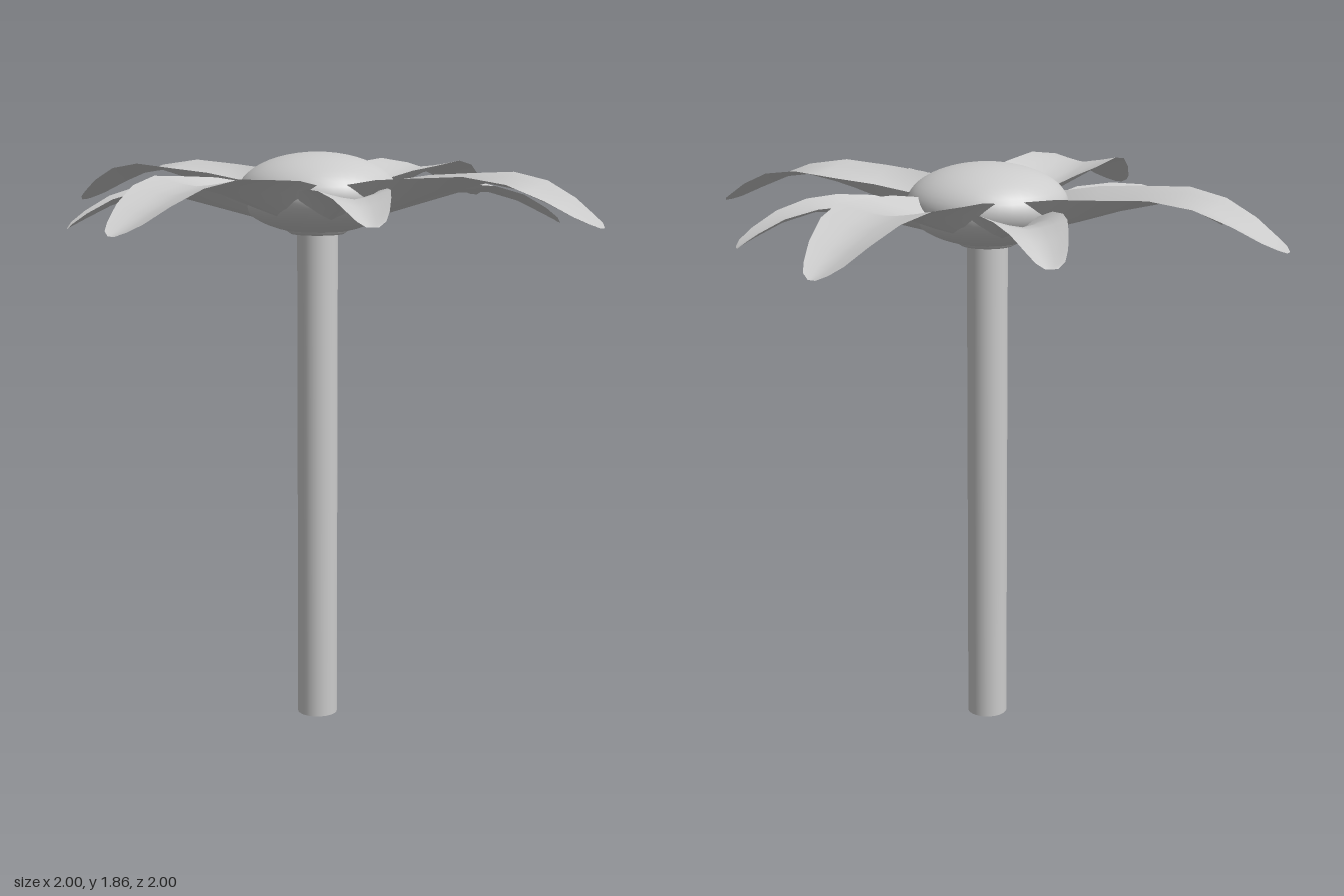
import * as THREE from 'three';

const grey = new THREE.MeshStandardMaterial({ color: 0xcccccc });
const thin = new THREE.MeshStandardMaterial({ color: 0xcccccc, side: THREE.DoubleSide });

// Stations along a petal: [distance from axis, height of midrib, half width, rise of the edges]
const LARGE = [
  [0.08, 1.635, 0.06, 0.03], [0.2, 1.665, 0.135, 0.105], [0.32, 1.70, 0.157, 0.09],
  [0.46, 1.745, 0.165, 0.055], [0.62, 1.785, 0.157, 0.025], [0.75, 1.765, 0.13, 0.025],
  [0.86, 1.72, 0.098, 0.025], [0.94, 1.685, 0.065, 0.015], [0.98, 1.672, 0.04, 0.008], [1.0, 1.668, 0.012, 0],
];
const SMALL = [
  [0.08, 1.63, 0.05, 0.02], [0.2, 1.655, 0.10, 0.06], [0.34, 1.695, 0.122, 0.06],
  [0.46, 1.73, 0.122, 0.035], [0.56, 1.735, 0.108, 0.025], [0.66, 1.71, 0.085, 0.025],
  [0.74, 1.675, 0.062, 0.02], [0.785, 1.655, 0.042, 0.01], [0.80, 1.648, 0.018, 0],
];

// Channel-shaped sheet running out along +z; tipLift raises the outer end
function petalGeometry(stations, tipLift = 0) {
  const across = 6, pos = [], index = [];
  const length = stations.at(-1)[0];
  stations.forEach(([r, y, w, rise], i) => {
    const lift = tipLift * (r / length) ** 3;
    for (let j = 0; j <= across; j++) {
      const v = (j / across) * 2 - 1;
      pos.push(v * w, y + lift + rise * Math.abs(v) ** 1.4, r);
      if (i < stations.length - 1 && j < across) {
        const a = i * (across + 1) + j, b = a + across + 1;
        index.push(a, b, a + 1, a + 1, b, b + 1);
      }
    }
  });
  const g = new THREE.BufferGeometry();
  g.setAttribute('position', new THREE.Float32BufferAttribute(pos, 3));
  g.setIndex(index);
  g.computeVertexNormals();
  return g;
}

export function createModel() {
  const flower = new THREE.Group();
  flower.name = 'flower';
  const add = (name, geometry, material) => {
    const m = new THREE.Mesh(geometry, material);
    m.name = name;
    flower.add(m);
    return m;
  };

  // Stem
  add('stem', new THREE.CylinderGeometry(0.065, 0.065, 1.62, 32), grey).position.y = 0.81;

  // Domed flower centre: squashed ball
  const centre = add('centre', new THREE.SphereGeometry(1, 40, 24), grey);
  centre.scale.set(0.257, 0.129, 0.25);
  centre.position.y = 1.731;

  // Collar under the centre
  const collar = [[0, 1.602], [0.085, 1.602], [0.118, 1.624], [0.105, 1.645], [0, 1.65]];
  add('collar', new THREE.LatheGeometry(collar.map(([x, y]) => new THREE.Vector2(x, y)), 32), grey);

  // Four long petals on the axes
  const large = petalGeometry(LARGE);
  [0, 90, 180, -91].forEach((deg, i) => {
    add('longPetal' + (i + 1), large, thin).rotation.y = THREE.MathUtils.degToRad(deg);
  });

  // Four short petals between them, alternately drooping and raised
  [[46, 0.04, 0.97], [133, -0.02, 0.99], [-139, 0.03, 1], [-46, -0.02, 0.99]].forEach(([deg, lift, size], i) => {
    const p = add('shortPetal' + (i + 1), petalGeometry(SMALL, lift), thin);
    p.rotation.y = THREE.MathUtils.degToRad(deg);
    p.scale.z = size;
  });

  return flower;
}
